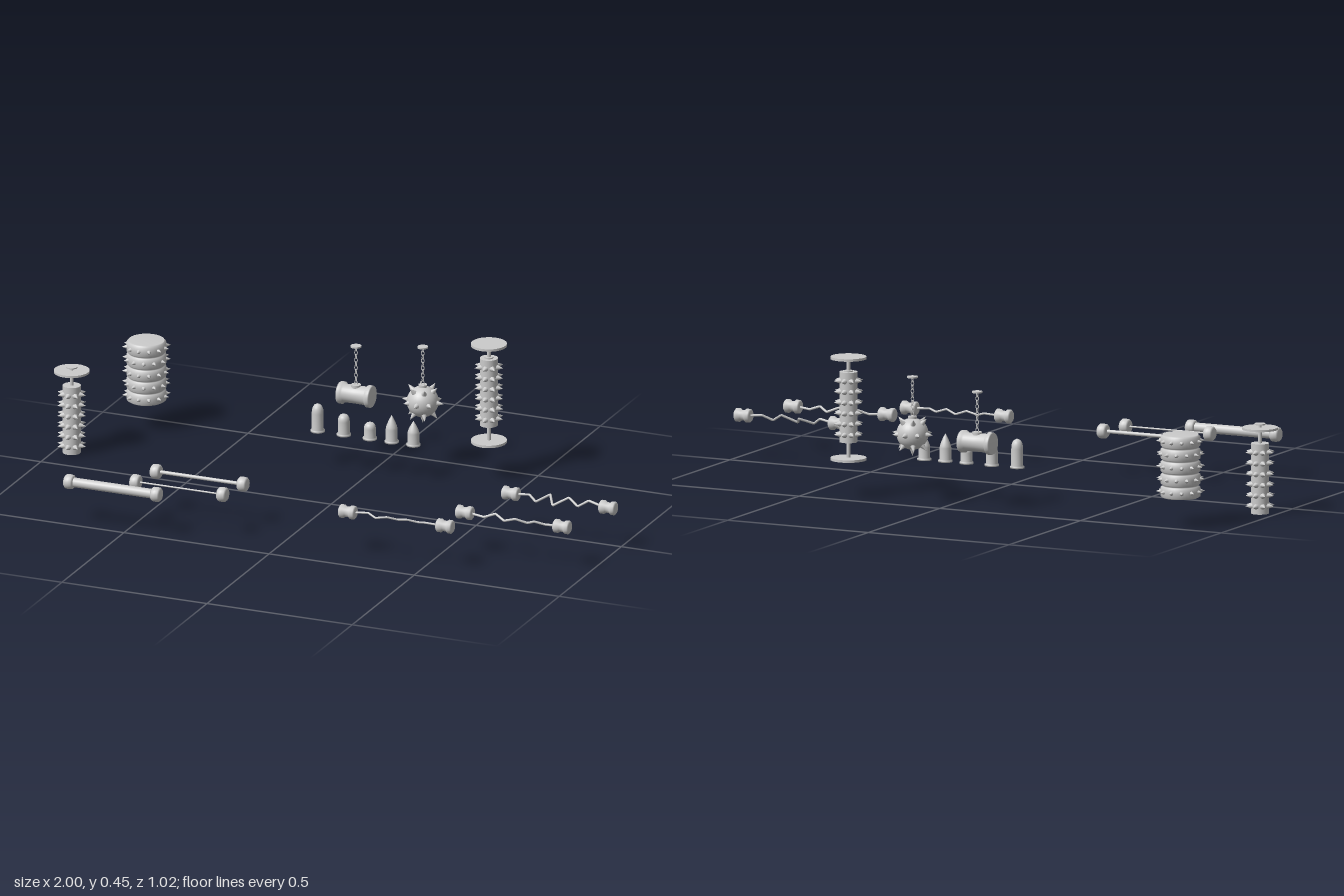
import * as THREE from 'three';

const material = new THREE.MeshStandardMaterial({ color: 0xcccccc, side: THREE.DoubleSide });
const UP = new THREE.Vector3(0, 1, 0);

function add(parent, name, geometry, x = 0, y = 0, z = 0) {
  const mesh = new THREE.Mesh(geometry, material);
  mesh.name = name;
  mesh.position.set(x, y, z);
  parent.add(mesh);
  return mesh;
}

function group(parent, name, x, y, z) {
  const g = new THREE.Group();
  g.name = name;
  g.position.set(x, y, z);
  parent.add(g);
  return g;
}

// Upright cylinder given by its bottom and top heights
function post(parent, name, r, y0, y1, sides = 32) {
  return add(parent, name, new THREE.CylinderGeometry(r, r, y1 - y0, sides), 0, (y0 + y1) / 2, 0);
}

// Turned profile; each segment keeps its own normals so that edges stay sharp
function turned(points, sides = 28) {
  return new THREE.LatheGeometry(points.map(([r, y]) => new THREE.Vector2(r, y)), sides);
}

// Cone pointing outwards along a direction, with its base sunk into the surface
function spike(parent, dir, from, to, r, y = 0) {
  const geo = new THREE.ConeGeometry(r, to - from, 10);
  const mesh = add(parent, 'spike', geo);
  mesh.position.copy(dir).multiplyScalar((from + to) / 2);
  mesh.position.y += y;
  mesh.quaternion.setFromUnitVectors(UP, dir);
}

function spikeRing(parent, y, count, from, to, r, turn = 0) {
  for (let i = 0; i < count; i++) {
    const a = turn + (i / count) * Math.PI * 2;
    spike(parent, new THREE.Vector3(Math.cos(a), 0, Math.sin(a)), from, to, r, y);
  }
}

// Slim roller body with rows of spikes
function spikedRoller(parent, y0) {
  post(parent, 'rollerBody', 0.029, y0, y0 + 0.226);
  for (let i = 0; i < 6; i++) spikeRing(parent, y0 + 0.025 + i * 0.0345, 8, 0.026, 0.049, 0.010);
}

// Chain of alternating links below a round ceiling plate
function chain(parent, y0, y1) {
  const n = Math.round((y1 - y0) / 0.0125);
  const step = (y1 - y0) / n;
  for (let i = 0; i < n; i++) {
    const link = add(parent, 'chainLink', new THREE.TorusGeometry(0.005, 0.0014, 6, 12), 0, y0 + (i + 0.5) * step, 0);
    link.scale.y = 1.45;
    link.rotation.y = i % 2 ? Math.PI / 2 : 0;
  }
  post(parent, 'ceilingPlate', 0.017, y1, y1 + 0.005, 24);
}

// End piece lying along x; side = -1 for the left end, 1 for the right end
function endPiece(parent, name, profile, x, side) {
  const mesh = add(parent, name, turned(profile), x, 0, 0);
  mesh.rotation.z = side < 0 ? -Math.PI / 2 : Math.PI / 2;
}

export function createModel() {
  const root = new THREE.Group();
  root.name = 'trapSet';

  // Hanging spiked roller
  const hanging = group(root, 'hangingRoller', -0.945, 0, -0.12);
  spikedRoller(hanging, 0);
  post(hanging, 'axle', 0.006, 0.22, 0.275, 16);
  post(hanging, 'disc', 0.057, 0.27, 0.277, 40);
  post(hanging, 'topCap', 0.018, 0.285, 0.289, 24);
  post(hanging, 'capStem', 0.005, 0.277, 0.286, 12);

  // Spiked roller held between two discs
  const mounted = group(root, 'mountedRoller', 0.36, 0, -0.43);
  spikedRoller(mounted, 0.175);
  post(mounted, 'axle', 0.006, 0.12, 0.445, 16);
  post(mounted, 'axleCollar', 0.014, 0.40, 0.405, 20);
  post(mounted, 'topDisc', 0.057, 0.442, 0.45, 40);
  post(mounted, 'bottomDisc', 0.057, 0.117, 0.125, 40);

  // Wide drum of stacked spiked bands
  const drum = group(root, 'spikedDrum', -0.82, 0.09, -0.43);
  const bands = 5, h = 0.203 / bands;
  const profile = [[0, 0]];
  for (let i = 0; i < bands; i++) {
    const y = i * h;
    profile.push([0.057, y], [0.063, y + 0.004], [0.064, y + h / 2], [0.063, y + h - 0.007], [0.057, y + h - 0.004]);
    spikeRing(drum, y + h / 2, 12, 0.058, 0.078, 0.009, i % 2 ? Math.PI / 12 : 0);
  }
  profile.push([0.057, 0.203], [0, 0.203]);
  add(drum, 'drumBody', turned(profile, 40));

  // Swinging barrel on a chain
  const barrel = group(root, 'swingingBarrel', -0.10, 0, -0.435);
  const log = add(barrel, 'barrel', turned([
    [0, -0.057], [0.034, -0.057], [0.036, -0.053], [0.036, -0.041], [0.030, -0.037],
    [0.029, 0], [0.030, 0.037], [0.036, 0.041], [0.036, 0.053], [0.034, 0.057], [0, 0.057]], 32), 0, 0.21, 0);
  log.rotation.z = -Math.PI / 2;
  post(barrel, 'chainMount', 0.016, 0.232, 0.244, 20);
  chain(barrel, 0.243, 0.37);

  // Spiked ball on a chain
  const ballTrap = group(root, 'swingingBall', 0.13, 0, -0.435);
  const ball = group(ballTrap, 'spikedBall', 0, 0.22, 0);
  add(ball, 'ball', new THREE.SphereGeometry(0.051, 32, 20));
  for (const [lat, count] of [[0, 8], [0.8, 6], [-0.8, 6], [-Math.PI / 2, 1]]) {
    for (let i = 0; i < count; i++) {
      const a = (i / count) * Math.PI * 2;
      const d = new THREE.Vector3(Math.cos(a) * Math.cos(lat), Math.sin(lat), Math.sin(a) * Math.cos(lat));
      spike(ball, d, 0.047, i % 2 && !lat ? 0.066 : 0.072, 0.010);
    }
  }
  post(ballTrap, 'chainMount', 0.014, 0.265, 0.277, 20);
  chain(ballTrap, 0.276, 0.4);

  // Row of shells: [x, height, start of nose, pointed]
  const shells = [[-0.18, 0.095, 0.062, 0], [-0.09, 0.073, 0.048, 0], [0, 0.058, 0.036, 0], [0.075, 0.092, 0.045, 1], [0.15, 0.083, 0.042, 1]];
  for (const [x, top, nose, pointed] of shells) {
    const pts = [[0, 0], [0.023, 0], [0.023, 0.006], [0.019, 0.008], [0.019, nose]];
    for (let i = 1; i <= 6; i++) {
      const t = i / 6;
      const r = pointed ? 0.019 * (1 - t ** 1.4) : 0.019 * Math.sqrt(1 - t ** 2.2);
      pts.push([Math.max(r, 0), nose + (top - nose) * t]);
    }
    add(root, 'shell', turned(pts, 20), x, 0.115, -0.313);
  }

  // Straight beams: [centre x, z, rod radius]
  const knob = [[0, 0], [0.018, 0], [0.023, 0.005], [0.024, 0.016], [0.023, 0.026], [0.018, 0.031], [0, 0.031]];
  for (const [x, z, r] of [[-0.543, 0.487, 0.0155], [-0.35, 0.405, 0.0028], [-0.328, 0.292, 0.006]]) {
    const beam = group(root, 'straightBeam', x, 0.14, z);
    const rod = add(beam, 'rod', new THREE.CylinderGeometry(r, r, 0.3, 20));
    rod.rotation.z = Math.PI / 2;
    for (const side of [-1, 1]) endPiece(beam, 'endKnob', knob, side * 0.165, side);
  }

  // Jagged bolts between waisted ends: each kink is [x, y, z]
  const waisted = [[0, 0], [0.017, 0], [0.022, 0.004], [0.022, 0.015], [0.017, 0.021],
    [0.017, 0.033], [0.022, 0.039], [0.022, 0.051], [0.017, 0.055], [0, 0.055]];
  const bolts = [
    [0.395, 0.397, 0.0035, [[-0.1, 0.004, -0.006], [-0.07, -0.005, 0.006], [-0.03, 0.004, 0.008], [0.0, -0.006, -0.010], [0.04, 0.005, 0.007], [0.07, -0.004, -0.008], [0.1, 0.003, 0.005]]],
    [0.738, 0.256, 0.004, [[-0.1, -0.005, 0.004], [-0.065, 0.007, -0.008], [-0.03, -0.007, 0.006], [0.01, 0.006, 0.010], [0.045, -0.008, -0.007], [0.075, 0.006, 0.008], [0.105, -0.004, -0.006]]],
    [0.803, 0.037, 0.004, [[-0.1, 0.008, 0.008], [-0.075, -0.010, 0.016], [-0.04, 0.008, -0.020], [-0.015, -0.012, 0.022], [0.03, 0.012, -0.006], [0.065, -0.009, 0.006], [0.095, 0.008, -0.014]]],
  ];
  for (const [x, z, r, kinks] of bolts) {
    const bolt = group(root, 'jaggedBolt', x, 0.14, z);
    const path = new THREE.CurvePath();
    const pts = [[-0.15, 0, 0], ...kinks, [0.15, 0, 0]].map(p => new THREE.Vector3(...p));
    for (let i = 1; i < pts.length; i++) path.add(new THREE.LineCurve3(pts[i - 1], pts[i]));
    add(bolt, 'bolt', new THREE.TubeGeometry(path, 96, r, 8));
    for (const side of [-1, 1]) endPiece(bolt, 'endPiece', waisted, side * 0.195, side);
  }

  return root;
}
